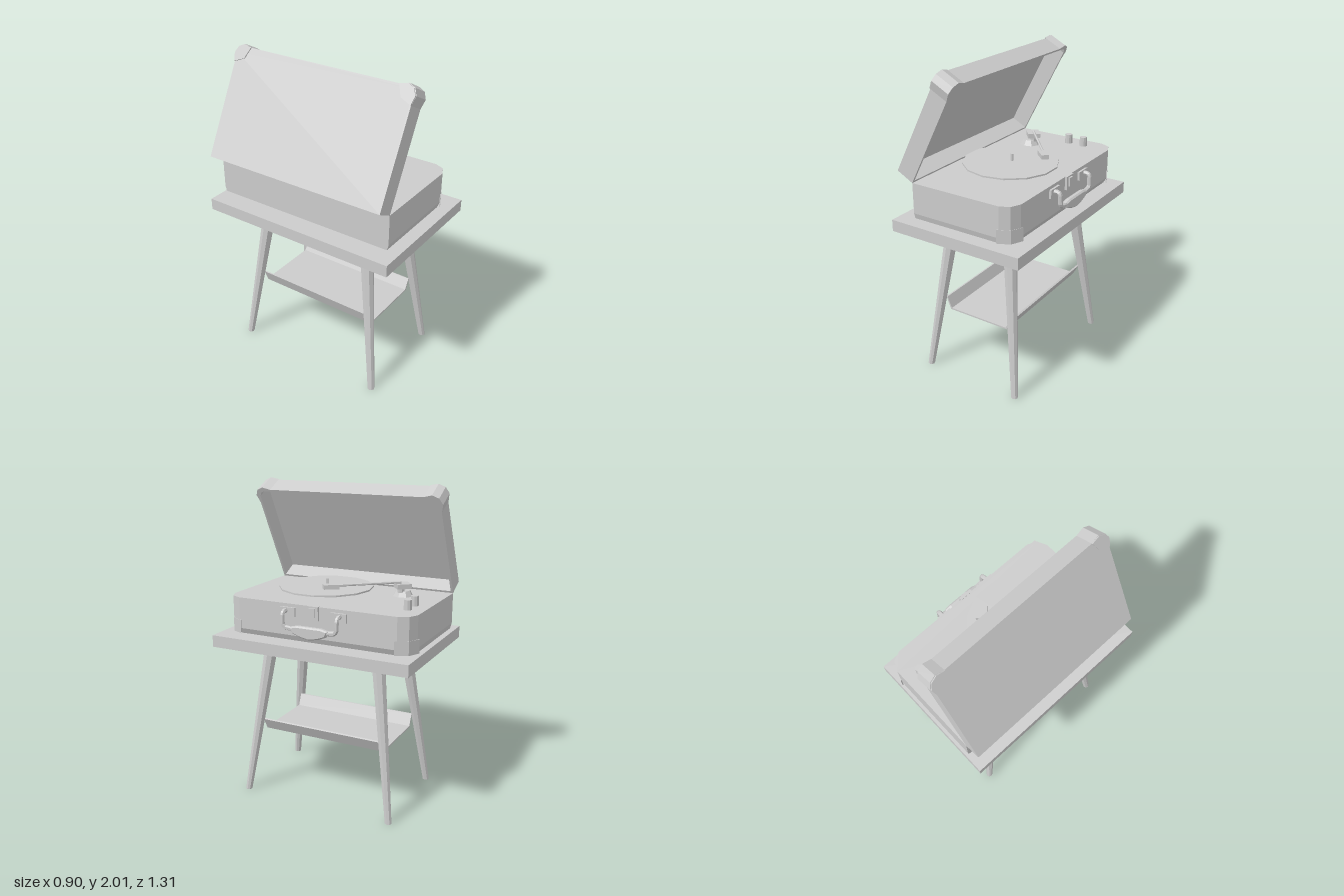
import * as THREE from 'three';

const material = new THREE.MeshStandardMaterial({ color: 0xcccccc, flatShading: true, side: THREE.DoubleSide });
const CASE_Z = -0.025; // the case sits slightly behind centre
const LENGTH = 0.7, HALF = 0.615;

function add(parent, name, geometry, x = 0, y = 0, z = 0) {
  const mesh = new THREE.Mesh(geometry, material);
  mesh.name = name;
  mesh.position.set(x, y, z);
  parent.add(mesh);
  return mesh;
}

const box = (w, h, d) => new THREE.BoxGeometry(w, h, d);
const shapeOf = (points) => new THREE.Shape(points.map(([x, y]) => new THREE.Vector2(x, y)));

// Upright prism over a plan outline
function prism(shape, height) {
  return new THREE.ExtrudeGeometry(shape, { depth: height, bevelEnabled: false }).rotateX(-Math.PI / 2);
}

// Softened corner at the free end, seen in plan
function corner(x, h, r, side = 1) {
  return [[x - r, h * side], [x - 0.32 * r, (h - 0.32 * r) * side], [x, (h - r) * side]];
}

// Case plan: square at the hinge, softened corners at the free end
function plan(r, inset = 0) {
  const x = LENGTH - inset, h = HALF - inset;
  return [[inset, -h], ...corner(x, h, r, -1), ...corner(x, h, r).reverse(), [inset, h]];
}

// Bent metal strip wrapping a corner
function cornerGuard(r, reach, bulge, height, side) {
  const outer = [[LENGTH - reach, HALF * side], ...corner(LENGTH + bulge, HALF + bulge, r + 0.02, side), [LENGTH, (HALF - reach) * side]];
  const inner = [...corner(LENGTH, HALF, r, side)].reverse();
  return prism(shapeOf([...outer, ...inner]), height);
}

function buildTable(group) {
  const table = new THREE.Group();
  table.name = 'table';
  group.add(table);
  add(table, 'tableTop', box(0.9, 0.075, 1.31), 0, 1.04, 0);

  // Tapered legs, sheared outwards towards the floor
  for (const sx of [-1, 1]) for (const sz of [-1, 1]) {
    const leg = new THREE.CylinderGeometry(0.044, 0.022, 1.005, 8).translate(0, 0.5025, 0);
    const p = leg.attributes.position;
    for (let i = 0; i < p.count; i++) {
      const t = p.getY(i);
      p.setX(i, p.getX(i) + sx * (0.33 - 0.12 * t));
      p.setZ(i, p.getZ(i) + sz * (0.505 - 0.135 * t));
    }
    leg.computeVertexNormals();
    add(table, 'leg', leg);
  }

  // Folded sheet shelf between the legs
  const profile = shapeOf([[-0.25, 0.495], [-0.215, 0.41], [0.215, 0.41], [0.255, 0.485],
    [0.245, 0.49], [0.208, 0.42], [-0.208, 0.42], [-0.24, 0.495]]);
  add(table, 'shelf', new THREE.ExtrudeGeometry(profile, { depth: 0.84, bevelEnabled: false }), 0, 0, -0.42);
}

function buildCase(group) {
  const body = new THREE.Group();
  body.name = 'case';
  body.position.set(-0.33, 1.09, CASE_Z);
  group.add(body);

  // Body with its lower edge drawn in
  const shell = prism(shapeOf(plan(0.09)), 0.195).translate(0, 0.035, 0);
  add(body, 'caseBody', shell);
  const base = prism(shapeOf(plan(0.09)), 0.035);
  const p = base.attributes.position;
  for (let i = 0; i < p.count; i++) if (p.getY(i) < 0.01) {
    if (p.getX(i) > 0.3) p.setX(i, p.getX(i) - 0.018);
    p.setZ(i, p.getZ(i) * 0.985);
  }
  base.computeVertexNormals();
  add(body, 'caseBase', base);
  for (const side of [-1, 1]) add(body, 'caseCornerGuard', cornerGuard(0.09, 0.1, 0.008, 0.085, side), 0, 0.003, 0);

  // Lid: same plan, swung open around the hinge edge
  const lid = new THREE.Group();
  lid.name = 'lid';
  lid.position.set(0, 0.23, 0);
  lid.rotation.z = 1.088;
  body.add(lid);
  const rim = shapeOf(plan(0.04));
  rim.holes.push(new THREE.Path(plan(0.035, 0.014).map(([x, y]) => new THREE.Vector2(x, y))));
  add(lid, 'lidRim', prism(rim, 0.12));
  add(lid, 'lidPanel', prism(shapeOf(plan(0.04)), 0.01), 0, 0.111, 0);
  for (const side of [-1, 1]) {
    add(lid, 'lidCornerGuard', cornerGuard(0.04, 0.1, 0.015, 0.12, side));
    const cap = [[LENGTH - 0.1, HALF * side], ...corner(LENGTH + 0.012, HALF + 0.012, 0.06, side),
      [LENGTH, (HALF - 0.1) * side], [LENGTH - 0.07, (HALF - 0.07) * side]];
    add(lid, 'lidCornerCap', prism(shapeOf(cap), 0.008), 0, 0.12, 0);
  }
}

function buildPlayer(group) {
  const player = new THREE.Group();
  player.name = 'player';
  group.add(player);
  add(player, 'record', new THREE.CylinderGeometry(0.297, 0.297, 0.01, 14), 0.02, 1.365, 0.075);
  add(player, 'spindle', new THREE.CylinderGeometry(0.009, 0.009, 0.095, 8), 0.025, 1.367, 0.067);
  for (const x of [0.08, 0.19]) {
    add(player, 'knob', new THREE.CylinderGeometry(0.023, 0.025, 0.06, 10), x, 1.35, -0.54);
  }

  // Tonearm, turned so that the head rests over the record
  const arm = new THREE.Group();
  arm.name = 'tonearm';
  arm.position.set(-0.1, 0, -0.38);
  arm.rotation.y = Math.atan2(0.17, 0.2);
  player.add(arm);
  add(arm, 'armBase', new THREE.CylinderGeometry(0.045, 0.065, 0.035, 8), -0.02, 1.337, -0.02);
  add(arm, 'armPost', new THREE.CylinderGeometry(0.022, 0.022, 0.06, 8), 0, 1.37, 0);
  add(arm, 'armPivot', box(0.08, 0.03, 0.09), 0, 1.388, -0.01);
  add(arm, 'armTube', new THREE.CylinderGeometry(0.008, 0.008, 0.41, 6).rotateX(Math.PI / 2), 0, 1.41, 0.205);
  const head = shapeOf([[-0.034, -0.4], [0.034, -0.4], [0.023, -0.49], [-0.023, -0.49]]);
  add(arm, 'armHead', prism(head, 0.027), 0, 1.393, 0);
}

function buildHandle(group) {
  const handle = new THREE.Group();
  handle.name = 'handle';
  handle.position.set(0, 0, -0.02);
  group.add(handle);
  add(handle, 'clasp', box(0.02, 0.085, 0.075), 0.375, 1.28, 0);
  add(handle, 'claspLatch', box(0.02, 0.055, 0.04), 0.385, 1.285, 0);

  // Plates and bent wire arms
  for (const side of [-1, 1]) {
    add(handle, 'handlePlate', box(0.016, 0.055, 0.1), 0.376, 1.272, side * 0.17);
    const points = [[0.37, 1.28, 0.18], [0.41, 1.28, 0.18], [0.422, 1.265, 0.18], [0.424, 1.205, 0.178],
      [0.422, 1.188, 0.165], [0.42, 1.178, 0.09]];
    const path = new THREE.CurvePath();
    const v = points.map(([x, y, z]) => new THREE.Vector3(x, y, z * side));
    for (let i = 1; i < v.length; i++) path.add(new THREE.LineCurve3(v[i - 1], v[i]));
    add(handle, 'handleArm', new THREE.TubeGeometry(path, 24, 0.014, 6));
  }

  // Grip, deepest in the middle
  const grip = shapeOf([[-0.115, 1.19], [-0.105, 1.165], [-0.06, 1.148], [0, 1.136], [0.06, 1.148],
    [0.105, 1.165], [0.115, 1.19], [0.08, 1.198], [-0.08, 1.198]]);
  const geometry = new THREE.ExtrudeGeometry(grip, { depth: 0.018, bevelThickness: 0.01, bevelSize: 0.008, bevelSegments: 1 });
  add(handle, 'handleGrip', geometry.rotateY(Math.PI / 2), 0.411, 0, 0);
}

export function createModel() {
  const group = new THREE.Group();
  group.name = 'recordPlayerOnTable';
  buildTable(group);
  buildCase(group);
  buildPlayer(group);
  buildHandle(group);
  return group;
}
